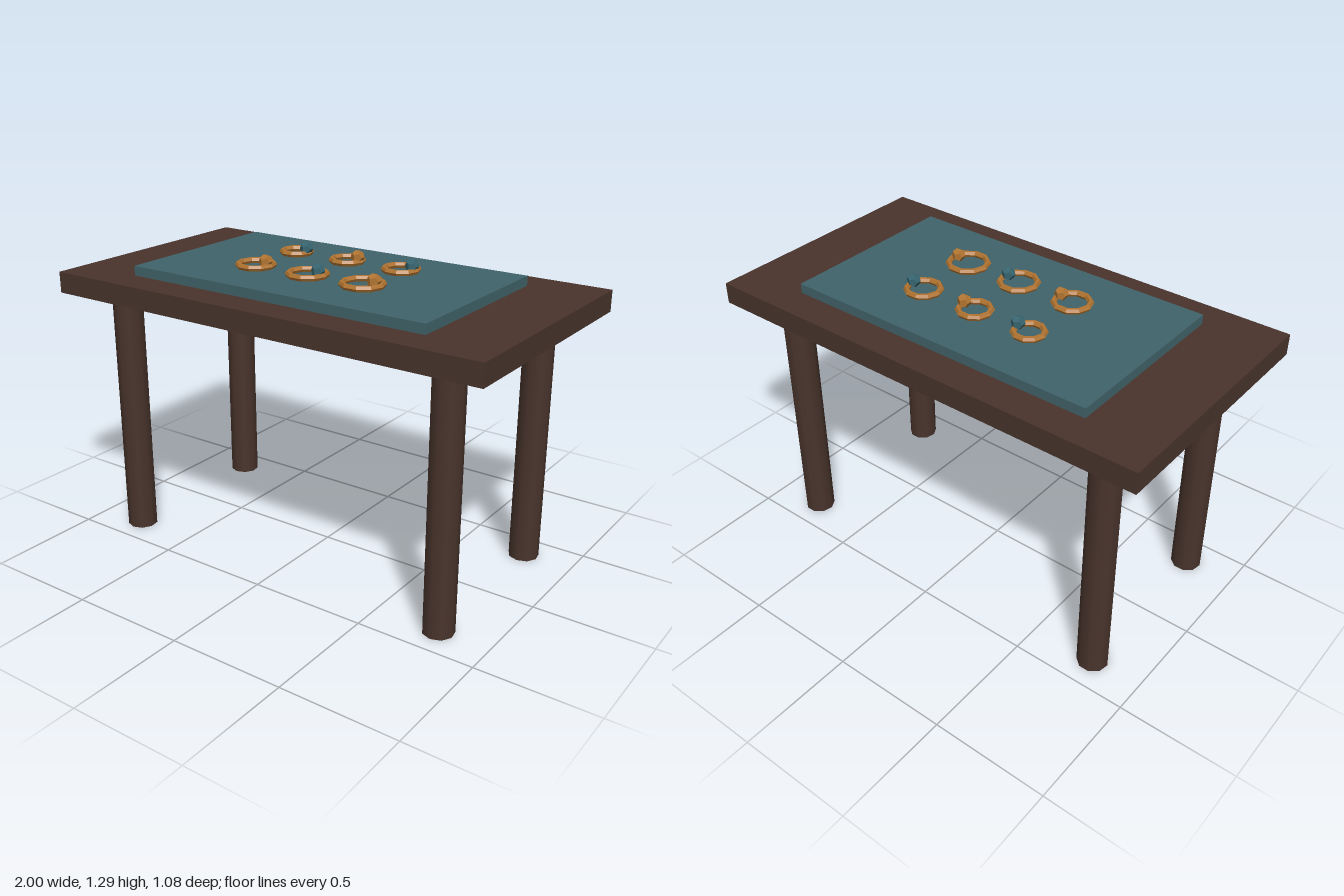
import * as THREE from 'three';

const mat = (name, color, flatShading = false) => {
  const m = new THREE.MeshStandardMaterial({ color, flatShading });
  m.name = name;
  return m;
};

export function createModel() {
  const group = new THREE.Group();
  const wood = mat('dark wood', 0x49342c);
  const cloth = mat('teal cloth', 0x41636a);
  const gold = mat('gold', 0xb0732f, true);
  const teal = mat('teal gem', 0x35646f, true);

  const add = (name, geometry, material, x, y, z) => {
    const mesh = new THREE.Mesh(geometry, material);
    mesh.name = name;
    mesh.position.set(x, y, z);
    group.add(mesh);
    return mesh;
  };

  // Table top and display cloth
  add('tableTop', new THREE.BoxGeometry(2, 0.09, 1.075), wood, 0, 1.135, 0);
  add('displayCloth', new THREE.BoxGeometry(1.395, 0.042, 0.795), cloth, 0, 1.2, 0);

  // Four nine-sided round legs
  const legGeometry = new THREE.CylinderGeometry(0.065, 0.065, 1.09, 9);
  for (const x of [-0.78, 0.78])
    for (const z of [-0.367, 0.367]) add('leg', legGeometry, wood, x, 0.545, z);

  // Two rows of bangles growing in size, with alternating gems
  const gemGeometry = new THREE.DodecahedronGeometry(0.029);
  for (let i = 0; i < 6; i++) {
    const x = ((i % 3) - 1) * 0.262;
    const z = i < 3 ? -0.14 : 0.138;
    const ringGeometry = new THREE.TorusGeometry(0.061 + i * 0.0042, 0.013, 6, 10);
    ringGeometry.rotateX(Math.PI / 2);
    add('ring', ringGeometry, gold, x, 1.238, z);
    add('gem', gemGeometry, i % 2 ? gold : teal, x + 0.052, 1.258, z);
  }
  return group;
}
